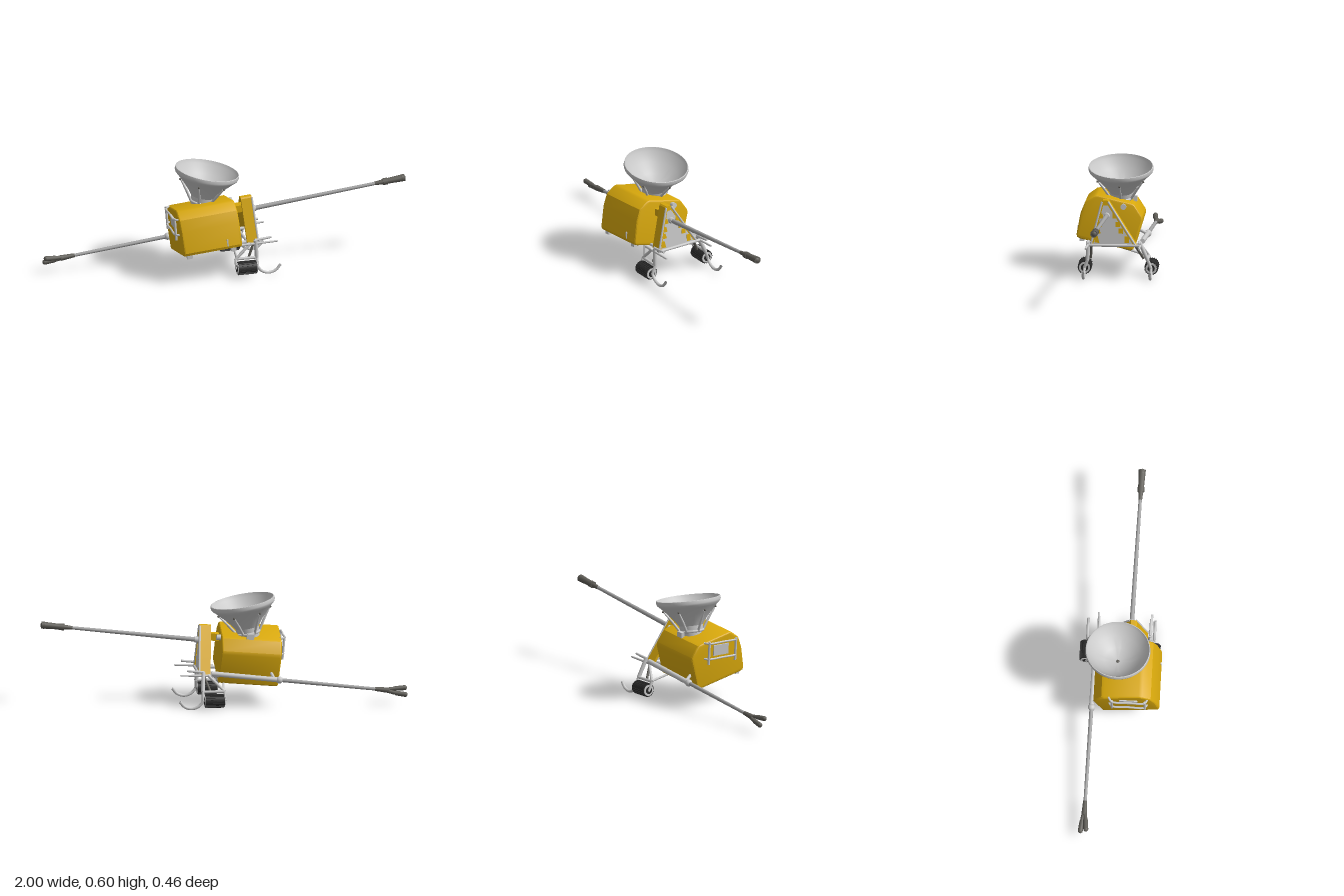
import * as THREE from 'three';
import { toCreasedNormals } from 'three/addons/utils/BufferGeometryUtils.js';

const paint = (name, color, side = THREE.FrontSide) => {
  const m = new THREE.MeshStandardMaterial({ color, side });
  m.name = name;
  return m;
};

export function createModel() {
  const yellow = paint('yellow', 0xd9a90c);
  const light = paint('light grey', 0xcacaca, THREE.DoubleSide);
  const steel = paint('boom grey', 0xa2a2a2);
  const tipGrey = paint('dark grey', 0x605e58);
  const black = paint('black', 0x2b2b2b);
  const V = (x, y, z) => new THREE.Vector3(x, y, z);

  const root = new THREE.Group();
  root.name = 'lander';

  const add = (parent, name, geo, mat, x = 0, y = 0, z = 0) => {
    const m = new THREE.Mesh(geo, mat);
    m.name = name;
    m.position.set(x, y, z);
    parent.add(m);
    return m;
  };
  const group = (name, x = 0, y = 0, z = 0, tilt = 0) => {
    const g = new THREE.Group();
    g.name = name;
    g.position.set(x, y, z);
    g.rotation.z = THREE.MathUtils.degToRad(tilt);
    root.add(g);
    return g;
  };
  // round bar from a to b
  const rod = (parent, name, a, b, r, mat, rEnd = r) => {
    const d = b.clone().sub(a);
    const m = add(parent, name, new THREE.CylinderGeometry(rEnd, r, d.length(), 12), mat);
    m.position.copy(a).addScaledVector(d, 0.5);
    m.quaternion.setFromUnitVectors(V(0, 1, 0), d.normalize());
    return m;
  };
  const bend = (parent, name, pts, r, mat) =>
    add(parent, name, new THREE.TubeGeometry(new THREE.CatmullRomCurve3(pts), 24, r, 8), mat);
  // side profile of (z, y) points, extruded along +x
  const slab = (pts, depth, bevel = 0) => {
    const shape = new THREE.Shape(pts.map(([z, y]) => new THREE.Vector2(-z, y)));
    const g = new THREE.ExtrudeGeometry(shape, {
      depth: depth - 2 * bevel, bevelEnabled: bevel > 0, bevelSize: bevel,
      bevelThickness: bevel, bevelOffset: -bevel, bevelSegments: 3,
    });
    g.translate(0, 0, bevel);
    g.rotateY(Math.PI / 2);
    return toCreasedNormals(g, 0.5);
  };

  // Faceted body, slightly tilted
  const body = group('body', -0.14, 0.27, 0, 5);
  const hull = slab([
    [0.115, 0.15], [0.135, 0.146], [0.182, 0.112], [0.207, 0.05], [0.229, -0.07], [0.224, -0.085],
    [0.205, -0.093], [-0.07, -0.155], [-0.084, -0.148], [-0.133, 0.015], [-0.131, 0.035],
    [-0.09, 0.098], [-0.075, 0.106],
  ], 0.334, 0.012);
  add(body, 'hull', hull, yellow, -0.167);

  // Handle frame and fittings on the far end
  for (const y of [0.02, 0.11]) {
    bend(body, 'handleBar', [V(-0.16, y, -0.05), V(-0.185, y, -0.03), V(-0.187, y, 0.06),
      V(-0.185, y, 0.15), V(-0.16, y, 0.165)], 0.006, light);
  }
  for (const z of [-0.03, 0.15]) rod(body, 'handlePost', V(-0.184, -0.01, z), V(-0.184, 0.12, z), 0.007, light);
  add(body, 'endPlate', new THREE.BoxGeometry(0.009, 0.06, 0.1), light, -0.169, 0.06, 0.06);
  add(body, 'frontMark', new THREE.BoxGeometry(0.008, 0.04, 0.006), light, 0.085, -0.05, 0.226);
  add(body, 'topFitting', new THREE.BoxGeometry(0.04, 0.03, 0.02), light, 0.01, 0.115, -0.085);
  rod(body, 'sidePipe', V(0.13, 0.09, -0.03), V(0.19, 0.09, -0.03), 0.016, light);
  for (const x of [-0.13, 0.12]) {
    add(body, 'lowerLug', new THREE.BoxGeometry(0.03, 0.02, 0.025), light, x, -0.1, 0.2);
  }

  // Dish on its neck with six braces
  const dish = group('dish', -0.13, 0.425, -0.008, -10);
  const bowl = [[0, 0], [0.068, 0.002], [0.09, 0.034], [0.125, 0.074], [0.16, 0.11], [0.175, 0.124],
    [0.179, 0.134], [0.177, 0.15], [0.173, 0.151], [0.165, 0.132], [0.125, 0.086], [0.075, 0.042], [0, 0.018]];
  add(dish, 'bowl', toCreasedNormals(
    new THREE.LatheGeometry(bowl.map(([x, y]) => new THREE.Vector2(x, y)), 48), 0.8), light);
  add(dish, 'neck', new THREE.CylinderGeometry(0.067, 0.06, 0.07, 32), light, 0, -0.022);
  add(dish, 'neckRing', new THREE.TorusGeometry(0.064, 0.007, 8, 32).rotateX(Math.PI / 2), light, 0, -0.03);
  add(dish, 'feedPoint', new THREE.SphereGeometry(0.009, 12, 8), tipGrey, 0, 0.022);
  for (let i = 0; i < 6; i++) {
    const a = (i * Math.PI) / 3;
    const at = (r, y) => V(r * Math.cos(a), y, r * Math.sin(a));
    rod(dish, 'brace', at(0.064, -0.03), at(0.1, 0.028), 0.007, light);
    rod(dish, 'braceTop', at(0.1, 0.028), at(0.14, 0.084), 0.007, light, 0.004);
    add(dish, 'braceBolt', new THREE.SphereGeometry(0.006, 8, 6), tipGrey).position.copy(at(0.146, 0.088));
  }

  // Triangular side frame
  const frame = group('sideFrame', 0.135, 0.3, 0, 5);
  add(frame, 'frameSides', slab([
    [0.145, -0.115], [0.085, 0.125], [0.078, 0.132], [0.052, 0.132], [0.045, 0.125], [-0.108, -0.115],
    [-0.092, -0.115], [0.05, 0.105], [0.075, 0.105], [0.13, -0.115],
  ], 0.062), yellow, -0.062);
  add(frame, 'framePanel', slab([[0.14, -0.115], [0.08, 0.12], [0.05, 0.12], [-0.102, -0.115]], 0.01), light, -0.012);
  [[0.088, 0.02, 0.046], [0.097, 0.003, 0], [0.104, -0.015, -0.037], [0.112, -0.044, -0.084]].forEach(([zl, zr, y]) => {
    const h = y < -0.05 ? 0.019 : 0.014;
    for (const [z, s] of [[zl, -0.25], [zr, 0.6]]) {
      const sh = s * h, w = 0.012;
      const pane = [[z + w - sh, y + h], [z - w - sh, y + h], [z - w + sh * -1 + 2 * sh * (s < 0 ? 1 : 0), y - h], [z + w + sh * (s < 0 ? 1 : -1), y - h]];
      add(frame, 'panelWindow', slab(pane, 0.003), yellow, -0.002);
    }
  });
  rod(frame, 'frontEdge', V(0, -0.117, 0.143), V(0, 0.125, 0.082), 0.006, light);
  rod(frame, 'backEdge', V(0, -0.117, -0.105), V(0, 0.125, 0.048), 0.006, light);
  for (const x of [0, -0.055]) rod(frame, 'bottomBar', V(x, -0.117, 0.15), V(x, -0.117, -0.125), 0.008, light);
  add(frame, 'apexArm', new THREE.BoxGeometry(0.07, 0.04, 0.05), yellow, -0.085, 0.07, 0.06);
  for (const z of [0.12, -0.08]) rod(frame, 'bodyLink', V(-0.15, -0.11, z), V(-0.02, -0.117, z), 0.009, light);

  // Long booms
  const booms = group('booms');
  const rightRoot = V(0.09, 0.342, 0.055), rightEnd = V(0.99, 0.446, 0.069);
  const rAt = (t) => rightRoot.clone().lerp(rightEnd, t);
  rod(booms, 'rightBoom', rightRoot, rAt(0.86), 0.013, steel, 0.009);
  rod(booms, 'rightSocket', rAt(0), rAt(0.07), 0.021, light, 0.016);
  rod(booms, 'rightTipNeck', rAt(0.82), rAt(0.9), 0.01, tipGrey, 0.016);
  rod(booms, 'rightTipCollar', rAt(0.87), rAt(0.9), 0.019, tipGrey);
  rod(booms, 'rightTipGrip', rAt(0.9), rAt(1.008), 0.016, tipGrey, 0.02);
  add(booms, 'rightTipCap', new THREE.SphereGeometry(0.02, 16, 10), tipGrey).position.copy(rAt(0.993));

  const leftRoot = V(0.08, 0.195, -0.138), leftEnd = V(-0.83, 0.09, -0.152);
  const lAt = (t) => leftRoot.clone().lerp(leftEnd, t);
  rod(booms, 'leftBoomBase', leftRoot, lAt(0.42), 0.014, light);
  rod(booms, 'leftBoom', lAt(0.4), leftEnd, 0.011, steel, 0.009);
  add(booms, 'leftJoint', new THREE.SphereGeometry(0.02, 16, 10), light).position.copy(lAt(0.41));
  rod(booms, 'leftBracket', lAt(0.38), V(-0.25, 0.19, -0.09), 0.009, light);
  rod(booms, 'leftTipNeck', lAt(0.99), V(-0.9, 0.082, -0.153), 0.011, tipGrey, 0.016);
  for (const s of [1, -1]) {
    const knuckle = V(-0.93, 0.079 + s * 0.01, -0.154 + s * 0.01);
    const end = V(-0.985, 0.076 + s * 0.016, -0.155 + s * 0.015);
    rod(booms, 'forkFinger', V(-0.86, 0.086, -0.153), knuckle, 0.009, tipGrey, 0.011);
    rod(booms, 'forkGrip', knuckle, end, 0.013, tipGrey, 0.014);
    add(booms, 'forkCap', new THREE.SphereGeometry(0.014, 12, 8), tipGrey).position.copy(end);
  }

  // Roller landing legs, front and back
  for (const s of [1, -1]) {
    const leg = group(s > 0 ? 'frontLeg' : 'backLeg');
    const zw = s > 0 ? 0.178 : -0.189;
    const zt = s > 0 ? 0.158 : -0.125;
    const roller = new THREE.Group();
    roller.name = 'roller';
    roller.position.set(0.07, 0.052, zw);
    leg.add(roller);
    add(roller, 'drum', new THREE.CylinderGeometry(0.035, 0.035, 0.106, 32).rotateZ(Math.PI / 2), black);
    for (let i = 0; i < 20; i++) {
      const tread = add(roller, 'tread', new THREE.BoxGeometry(0.1, 0.006, 0.005), black);
      const a = (i * Math.PI) / 10;
      tread.position.set(0, 0.035 * Math.cos(a), 0.035 * Math.sin(a));
      tread.rotation.x = a;
    }
    for (const e of [1, -1]) {
      add(roller, 'rim', new THREE.CylinderGeometry(0.031, 0.031, 0.006, 32).rotateZ(Math.PI / 2), light, e * 0.053);
      add(roller, 'hub', new THREE.CylinderGeometry(0.02, 0.02, 0.006, 20).rotateZ(Math.PI / 2), black, e * 0.055);
    }

    const top = V(0.125, 0.2, zt), elbow = V(0.132, 0.1, zw - s * 0.018);
    rod(leg, 'mainStrut', top, elbow, 0.011, light);
    rod(leg, 'axleArm', elbow, V(0.132, 0.052, zw), 0.009, light);
    rod(leg, 'innerStrut', V(0.1, 0.185, zt), V(0.012, 0.1, zw - s * 0.02), 0.008, light);
    rod(leg, 'innerAxleArm', V(0.012, 0.1, zw - s * 0.02), V(0.012, 0.052, zw), 0.008, light);
    rod(leg, 'crossBar', V(0.012, 0.1, zw - s * 0.02), elbow, 0.008, light);
    rod(leg, 'axle', V(0.01, 0.052, zw), V(0.136, 0.052, zw), 0.007, light);
    rod(leg, 'bodyStrut', V(0.02, 0.1, zw - s * 0.025), V(0.0, s > 0 ? 0.18 : 0.14, s > 0 ? 0.14 : -0.02), 0.006, light);
    rod(leg, 'damper', V(0.12, 0.18, s > 0 ? 0.14 : -0.1), V(0.09, 0.1, s > 0 ? 0.145 : -0.145), 0.007, tipGrey);

    // Curved skid and upper prongs
    bend(leg, 'skid', [V(0.13, 0.055, zw), V(0.155, 0.025, zw), V(0.195, 0.011, zw),
      V(0.235, 0.022, zw), V(0.262, 0.052, zw)], 0.008, light);
    rod(leg, 'upperProng', V(0.04, 0.178, zt), V(0.25, 0.186, zt + s * 0.006), 0.008, light, 0.005);
    rod(leg, 'shortProng', V(0.12, 0.2, zt), V(0.215, 0.21, zt), 0.008, light, 0.006);
  }
  return root;
}
